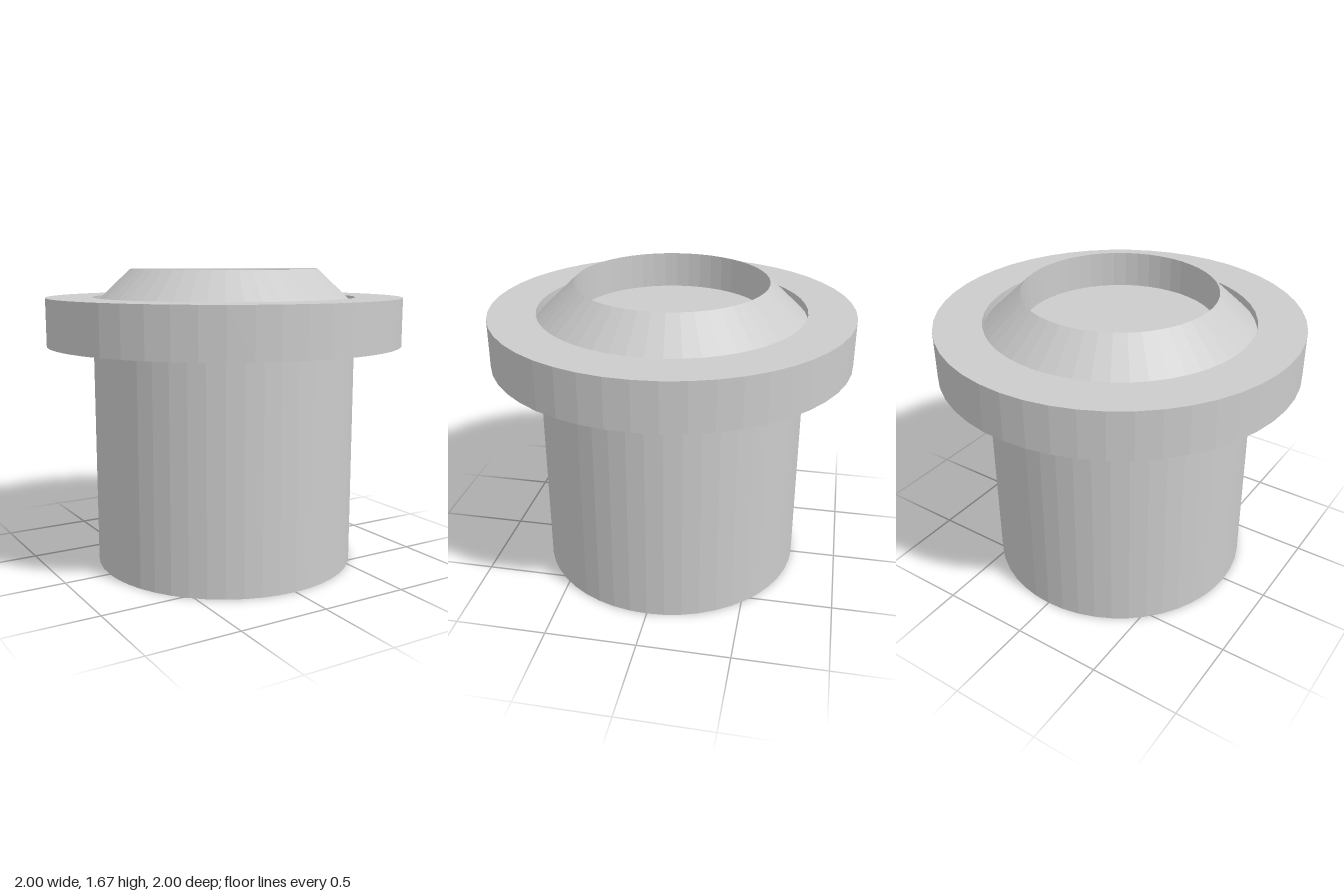
import * as THREE from 'three';

const SEGMENTS = 48;

export function createModel() {
  const group = new THREE.Group();
  const material = new THREE.MeshStandardMaterial({ color: 0xcccccc, flatShading: true });

  // Revolve a [radius, height] profile around the y axis
  const turned = (name, profile) => {
    const points = profile.map(([r, y]) => new THREE.Vector2(r, y));
    const mesh = new THREE.Mesh(new THREE.LatheGeometry(points, SEGMENTS), material);
    mesh.name = name;
    group.add(mesh);
  };

  const bodyRadius = 0.74, boreRadius = 0.53;
  const flangeBottom = 1.255, flangeTop = 1.52, floor = 1.475, top = 1.675;

  // Solid cylindrical shank with closed bottom
  turned('body', [[0, 0], [bodyRadius, 0], [bodyRadius, flangeBottom]]);

  // Wide flange, its inner wall stepping down to the foot of the lip
  turned('flange', [
    [bodyRadius, flangeBottom], [1, flangeBottom], [1, flangeTop],
    [bodyRadius, flangeTop], [bodyRadius, floor],
  ]);

  // Sloping lip around a straight bore
  turned('lip', [[bodyRadius, floor], [boreRadius, top], [boreRadius, floor]]);

  // Flat floor of the bore
  turned('boreFloor', [[boreRadius, floor], [0, floor]]);

  return group;
}
